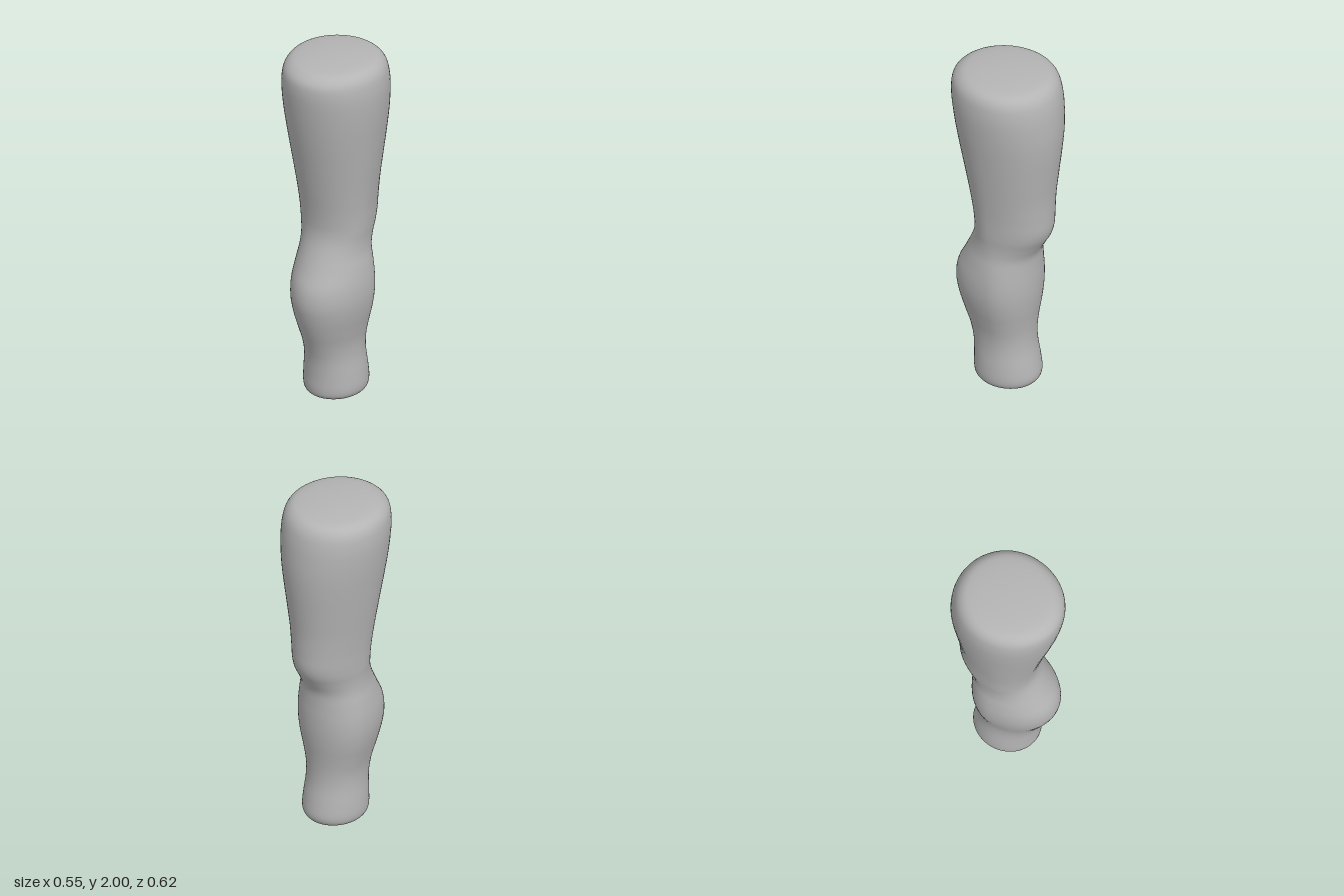
import * as THREE from 'three';

// Cross-sections from sole to top: [height, half width, front depth, back depth]
const SECTIONS = [
  [0.0, 0.0, 0.0, 0.0], [0.006, 0.07, 0.08, 0.08], [0.015, 0.125, 0.14, 0.14],
  [0.035, 0.157, 0.172, 0.172], [0.075, 0.168, 0.181, 0.185], [0.15, 0.165, 0.182, 0.175],
  [0.25, 0.156, 0.19, 0.157], [0.34, 0.159, 0.214, 0.153], [0.43, 0.177, 0.248, 0.16],
  [0.52, 0.198, 0.277, 0.172], [0.61, 0.211, 0.293, 0.18], [0.7, 0.211, 0.282, 0.182],
  [0.79, 0.2, 0.24, 0.18], [0.87, 0.186, 0.204, 0.184], [0.94, 0.184, 0.178, 0.216],
  [1.0, 0.189, 0.168, 0.248], [1.06, 0.193, 0.17, 0.264], [1.14, 0.199, 0.18, 0.267],
  [1.26, 0.213, 0.202, 0.271], [1.4, 0.232, 0.23, 0.285], [1.55, 0.252, 0.261, 0.301],
  [1.68, 0.268, 0.285, 0.308], [1.8, 0.277, 0.302, 0.302], [1.88, 0.274, 0.307, 0.29],
  [1.935, 0.262, 0.297, 0.272], [1.97, 0.235, 0.26, 0.242], [1.986, 0.19, 0.21, 0.2],
  [1.996, 0.1, 0.11, 0.11], [2.0, 0.0, 0.0, 0.0],
];

// Smooth skin through the sections; front and back halves have their own depth
function limbGeometry(sections, rings, sides) {
  const spline = (pick) => new THREE.CatmullRomCurve3(
    sections.map((s) => new THREE.Vector3(...pick(s))), false, 'catmullrom', 0.5);
  const outline = spline(([y, w]) => [w, y, 0]);
  const depth = spline(([, , front, back]) => [front, 0, back]);
  const positions = [], indices = [];

  positions.push(0, sections[0][0], 0);
  for (let i = 1; i < rings; i++) {
    const p = outline.getPoint(i / rings), d = depth.getPoint(i / rings);
    for (let j = 0; j < sides; j++) {
      const a = (j / sides) * Math.PI * 2, c = Math.cos(a);
      positions.push(Math.sin(a) * p.x, p.y, c * (c > 0 ? d.x : d.z));
    }
  }
  positions.push(0, sections[sections.length - 1][0], 0);

  const last = 1 + (rings - 1) * sides;
  for (let j = 0; j < sides; j++) {
    const k = (j + 1) % sides;
    indices.push(0, 1 + k, 1 + j);
    for (let i = 0; i < rings - 2; i++) {
      const r = 1 + i * sides, s = r + sides;
      indices.push(r + j, r + k, s + k, r + j, s + k, s + j);
    }
    indices.push(last - sides + j, last - sides + k, last);
  }

  const geometry = new THREE.BufferGeometry();
  geometry.setAttribute('position', new THREE.Float32BufferAttribute(positions, 3));
  geometry.setIndex(indices);
  geometry.computeVertexNormals();
  return geometry;
}

export function createModel() {
  const group = new THREE.Group();
  group.name = 'limb';
  const grey = new THREE.MeshStandardMaterial({ color: 0xb4b4b4 });
  grey.name = 'grey';

  // Thigh, knee, calf and ankle in one continuous skin
  const leg = new THREE.Mesh(limbGeometry(SECTIONS, (SECTIONS.length - 1) * 4, 64), grey);
  leg.name = 'leg';
  group.add(leg);
  return group;
}
